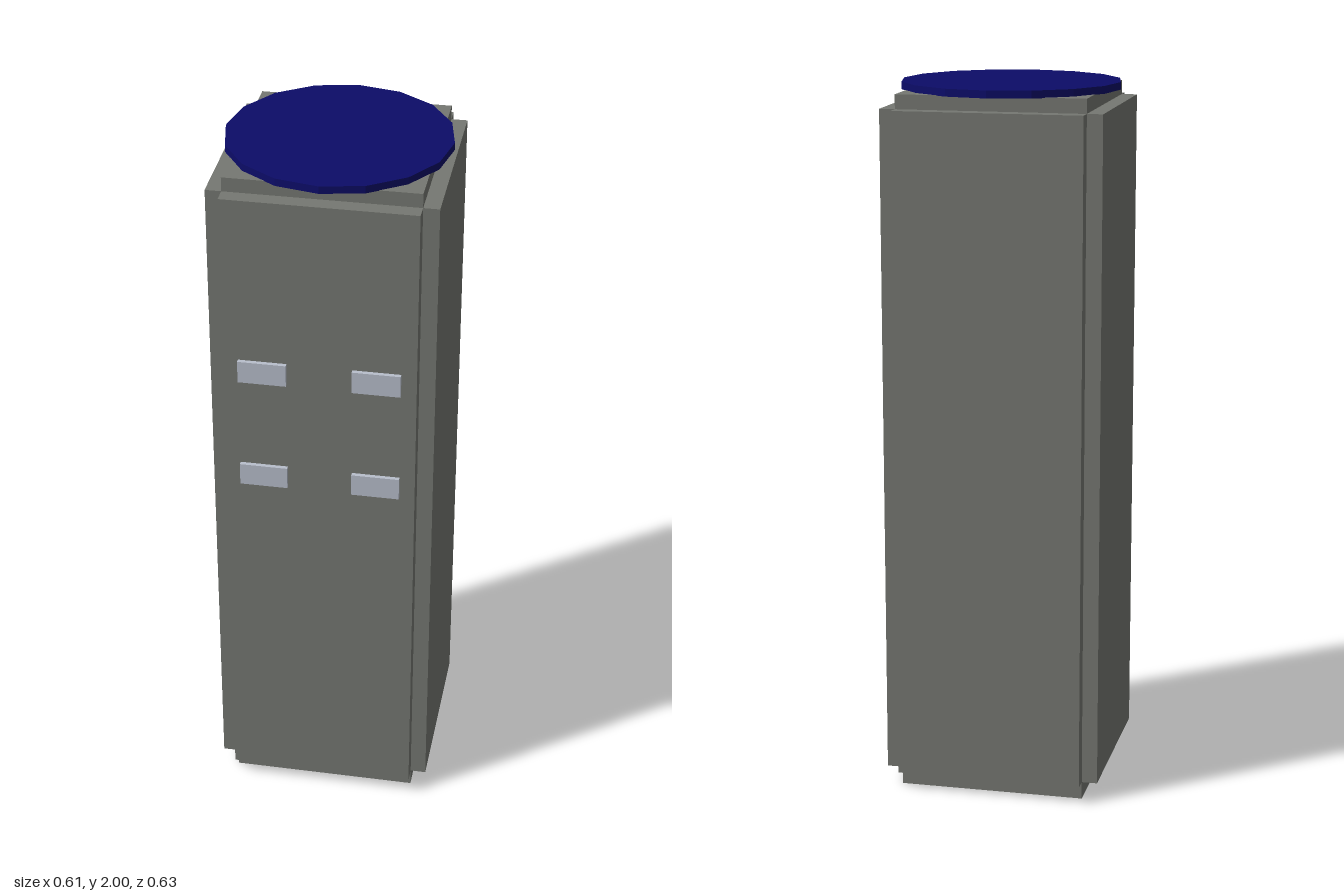
import * as THREE from 'three';

export function createModel() {
  const model = new THREE.Group();
  const mat = (name, color) => {
    const m = new THREE.MeshStandardMaterial({ color });
    m.name = name;
    return m;
  };
  const grey = mat('stone grey', 0x767872);
  const navy = mat('navy blue', 0x0c0c68);
  const pale = mat('pale blue grey', 0xb8bfcc);
  const zc = -0.007; // body axis, offset by the front tabs

  const add = (name, geometry, material, x, y, z) => {
    const mesh = new THREE.Mesh(geometry, material);
    mesh.name = name;
    mesh.position.set(x, y, z);
    model.add(mesh);
  };

  // square core, a little taller than the side panels
  add('core', new THREE.BoxGeometry(0.526, 1.98, 0.526), grey, 0, 0.99, zc);

  // one raised panel on each of the four sides
  const panelHeight = 1.89, panelDepth = 0.044, out = 0.263 + panelDepth / 2;
  for (const s of [-1, 1]) {
    const side = s > 0 ? 'left' : 'right', end = s > 0 ? 'front' : 'back';
    add(side + 'Panel', new THREE.BoxGeometry(panelDepth, panelHeight, 0.526), grey, s * out, 0.995, zc);
    add(end + 'Panel', new THREE.BoxGeometry(0.526, panelHeight, panelDepth), grey, 0, 0.995, zc + s * out);
  }

  // faceted round cap
  const cap = new THREE.CylinderGeometry(0.307, 0.307, 0.021, 16).toNonIndexed();
  cap.computeVertexNormals();
  add('cap', cap, navy, 0, 1.9895, zc);

  // two rows of small tabs on the front panel
  for (const y of [1.102, 1.431])
    for (const x of [-0.155, 0.155])
      add('frontTab', new THREE.BoxGeometry(0.132, 0.064, 0.012), pale, x, y, 0.306);

  return model;
}
